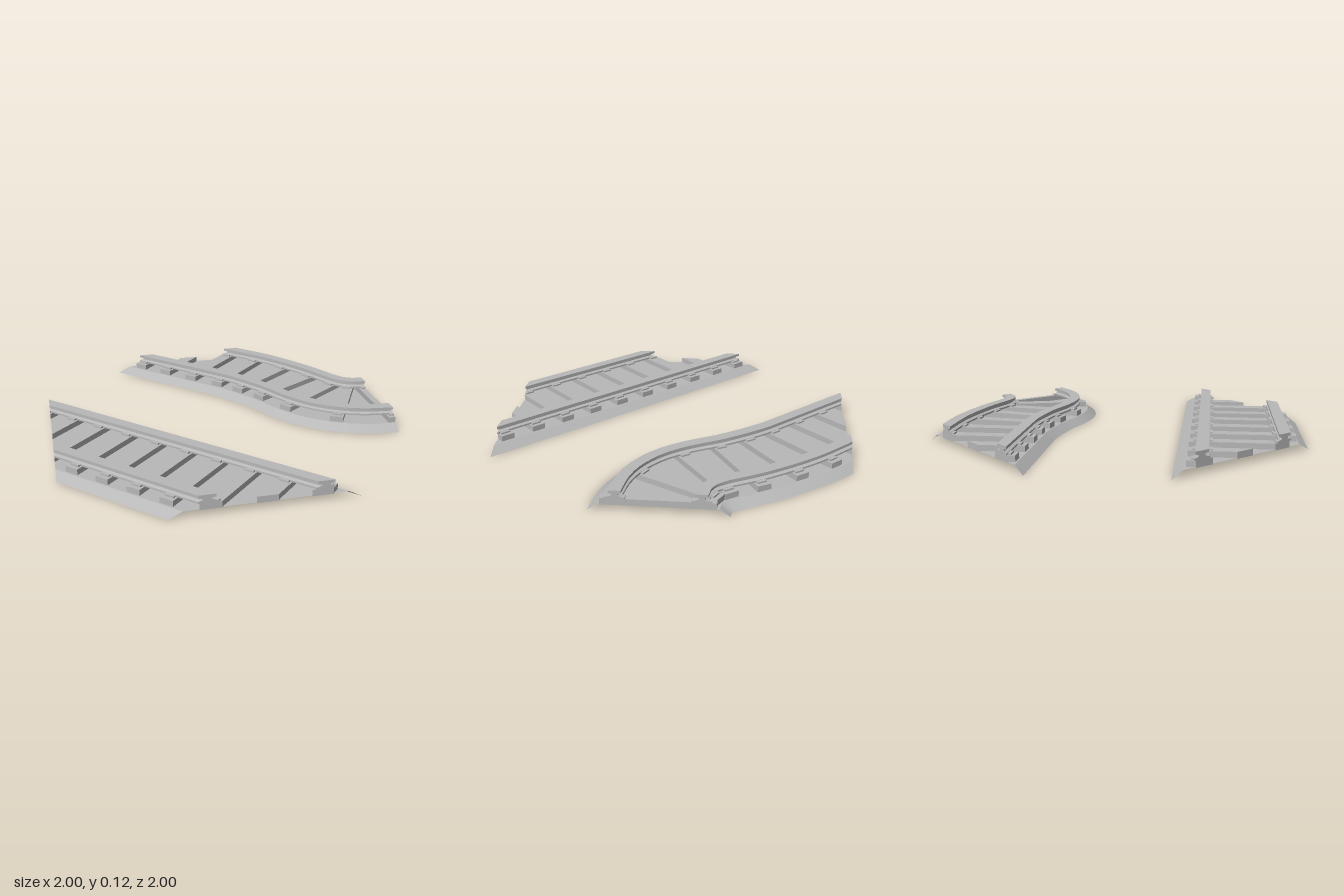
import * as THREE from 'three';
import { toCreasedNormals } from 'three/addons/utils/BufferGeometryUtils.js';

const R2 = Math.SQRT2;
// double-sided because the ballast bed is an open shell
const grey = new THREE.MeshStandardMaterial({ color: 0xb8b8b8, side: THREE.DoubleSide });
grey.name = 'grey';

function addMesh(parent, name, geometry) {
  const mesh = new THREE.Mesh(geometry, grey);
  mesh.name = name;
  parent.add(mesh);
}

// Sweep a [side, height] profile through frames { p, l }: centre and sideways vector
function sweep(frames, profile, closed) {
  const pos = [];
  const put = (f, q) => pos.push(f.p.x + f.l.x * q[0], q[1], f.p.y + f.l.y * q[0]);
  const n = profile.length;
  for (let i = 0; i < frames.length - 1; i++) {
    const a = frames[i], b = frames[i + 1];
    for (let j = 0; j < (closed ? n : n - 1); j++) {
      const q = profile[j], r = profile[(j + 1) % n];
      put(a, q); put(b, q); put(a, r);
      put(b, q); put(b, r); put(a, r);
    }
  }
  if (closed) {
    const tris = THREE.ShapeUtils.triangulateShape(profile.map(q => new THREE.Vector2(...q)), []);
    const last = frames[frames.length - 1];
    for (const [i, j, k] of tris) {
      for (const m of [i, k, j]) put(frames[0], profile[m]);
      for (const m of [i, j, k]) put(last, profile[m]);
    }
  }
  const g = new THREE.BufferGeometry();
  g.setAttribute('position', new THREE.Float32BufferAttribute(pos, 3));
  g.computeVertexNormals();
  return toCreasedNormals(g, 0.5);
}

// Trim a convex outline to the square tile
function clipToTile(poly) {
  for (const axis of ['x', 'y']) {
    for (const sign of [1, -1]) {
      const out = [];
      poly.forEach((a, i) => {
        const b = poly[(i + 1) % poly.length];
        const da = 1 - sign * a[axis], db = 1 - sign * b[axis];
        if (da >= 0) out.push(a);
        if (da * db < 0) out.push(a.clone().lerp(b, da / (da - db)));
      });
      poly = out;
    }
  }
  return poly;
}

// Upright block lying across the track, trimmed at the tile border
function addBlock(parent, name, f, t, d0, d1, width, y0, y1) {
  const corner = (d, s) => f.p.clone().addScaledVector(f.l, d).addScaledVector(t, s * width / 2);
  const poly = clipToTile([corner(d0, -1), corner(d1, -1), corner(d1, 1), corner(d0, 1)]);
  if (poly.length < 3) return;
  const shape = new THREE.Shape(poly.map(v => new THREE.Vector2(v.x, -v.y)));
  const g = new THREE.ExtrudeGeometry(shape, { depth: y1 - y0, bevelEnabled: false });
  addMesh(parent, name, g.rotateX(-Math.PI / 2).translate(0, y0, 0));
}

const bedProfile = [[-0.354, 0], [-0.3, 0.038], [0.3, 0.038], [0.354, 0]];

// I-shaped rail, clockwise
const half = [[0.032, 0.115], [0.032, 0.1], [0.016, 0.096], [0.016, 0.086], [0.034, 0.08], [0.034, 0.07]];
const railProfile = [...half, ...half.map(([d, y]) => [-d, y]).reverse()];

function buildTrack(name, frames, sleeperFrames) {
  const track = new THREE.Group();
  track.name = name;
  addMesh(track, 'ballastBed', sweep(frames, bedProfile, false));
  for (const side of [-1, 1]) {
    const profile = railProfile.map(([d, y]) => [d + side * 0.214, y]);
    addMesh(track, side < 0 ? 'outerRail' : 'innerRail', sweep(frames, profile, true));
  }
  for (const f of sleeperFrames) {
    const t = new THREE.Vector2(-f.l.y, f.l.x);
    addBlock(track, 'sleeper', f, t, -0.29, 0.29, 0.08, 0.034, 0.07);
    for (const s of [-1, 1]) {
      addBlock(track, 'railChair', f, t, s * 0.214 - 0.052, s * 0.214 + 0.052, 0.055, 0.07, 0.079);
    }
  }
  return track;
}

const frame = (x, z, lx, lz) => ({ p: new THREE.Vector2(x, z), l: new THREE.Vector2(lx, lz) });

export function createModel() {
  const model = new THREE.Group();
  model.name = 'railwayTile';

  // Straight diagonal track, both ends cut along the tile border
  const straightSleepers = [];
  for (let k = -1; k <= 8; k++) straightSleepers.push(frame(-1 + k / 7, k / 7, 1 / R2, -1 / R2));
  model.add(buildTrack('straightTrack',
    [frame(-1, 0, 0, -R2), frame(0, 1, R2, 0)], straightSleepers));

  // Curved track: diagonal start, bending round to leave square to the side
  const path = new THREE.CatmullRomCurve3([
    [0, -1], [0.18, -0.82], [0.35, -0.646], [0.53, -0.4], [0.644, -0.2],
    [0.73, -0.098], [0.856, -0.025], [1, 0]
  ].map(([x, z]) => new THREE.Vector3(x, 0, z)));
  const frameAt = u => {
    if (u <= 0) return frame(u * 1.02, -1 + u * 1.02, 1 / R2, -1 / R2);
    const p = path.getPointAt(u), t = path.getTangentAt(u);
    return u >= 1 ? frame(1, 0, 0, -1) : frame(p.x, p.z, t.z, -t.x);
  };
  const curveFrames = [frame(0, -1, R2, 0)];
  for (let i = 0; i <= 28; i++) curveFrames.push(frameAt(0.28 + 0.72 * i / 28));
  const curveSleepers = [];
  for (let k = -1; k <= 7; k++) curveSleepers.push(frameAt(k / 7));
  model.add(buildTrack('curvedTrack', curveFrames, curveSleepers));

  return model;
}
